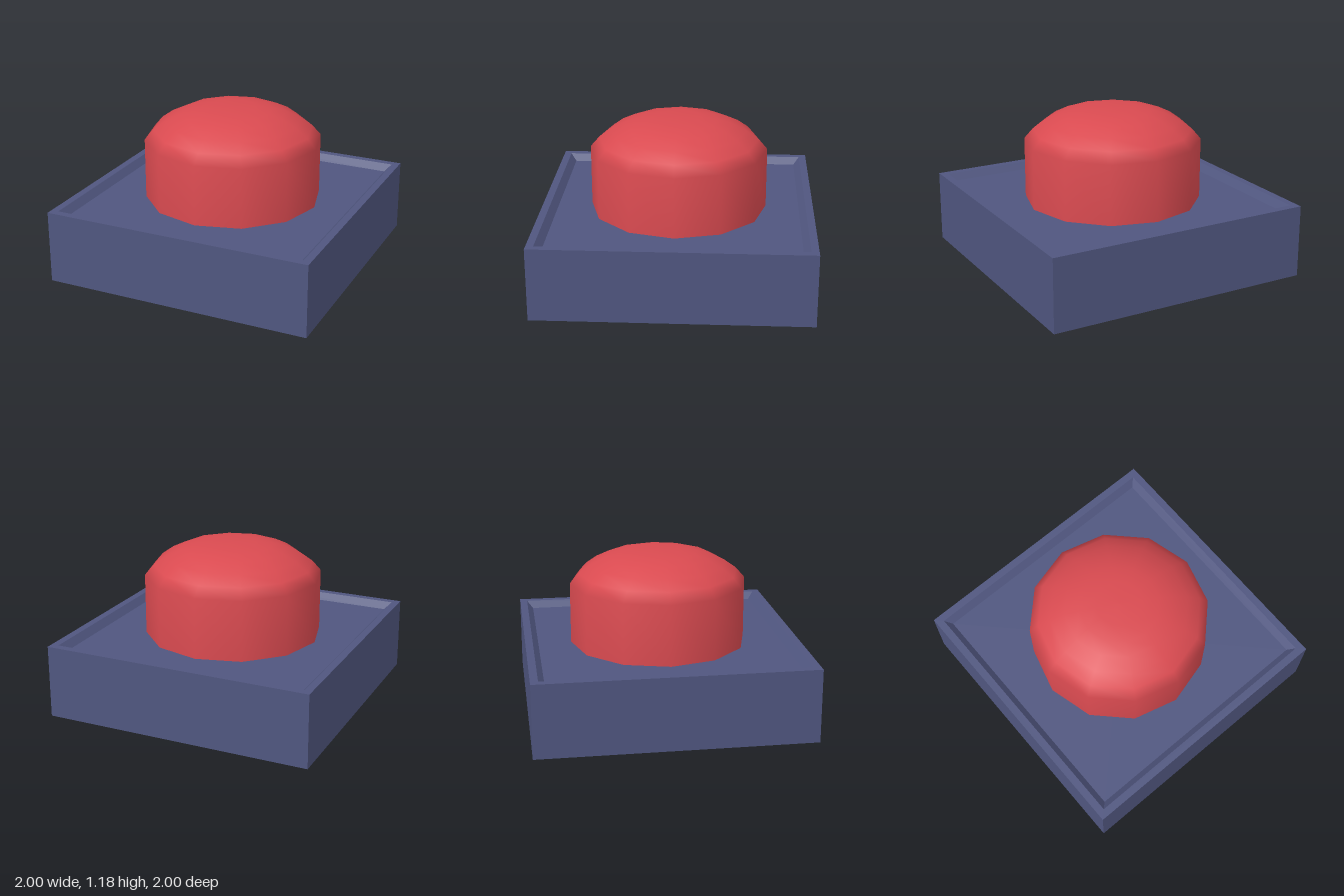
import * as THREE from 'three';

// Revolve a [radius, height] profile, listed from bottom to top
function revolve(profile, sides) {
  return new THREE.LatheGeometry(profile.map(([r, y]) => new THREE.Vector2(r, y)), sides);
}

export function createModel() {
  const model = new THREE.Group();
  model.name = 'pushButton';

  // Square base with a shallow, bevelled recess: a four-sided revolve turned square to the axes
  const baseProfile = [[0, 0], [1, 0], [1, 0.54], [0.945, 0.54], [0.9, 0.49], [0, 0.49]]
    .map(([r, y]) => [r * Math.SQRT2, y]);
  const baseGeometry = revolve(baseProfile, 4).rotateY(Math.PI / 4).toNonIndexed();
  baseGeometry.computeVertexNormals();
  const base = new THREE.Mesh(
    baseGeometry,
    new THREE.MeshStandardMaterial({ color: 0x50567f, flatShading: true })
  );
  base.name = 'base';
  model.add(base);

  // Twelve-sided button with a smooth domed cap
  const buttonProfile = [
    [0.655, 0.49], [0.655, 0.94], [0.59, 1.015], [0.5, 1.08],
    [0.39, 1.134], [0.29, 1.16], [0.17, 1.178], [0, 1.18],
  ];
  const button = new THREE.Mesh(
    revolve(buttonProfile, 12),
    new THREE.MeshStandardMaterial({ color: 0xd94a50 })
  );
  button.name = 'button';
  model.add(button);

  return model;
}
